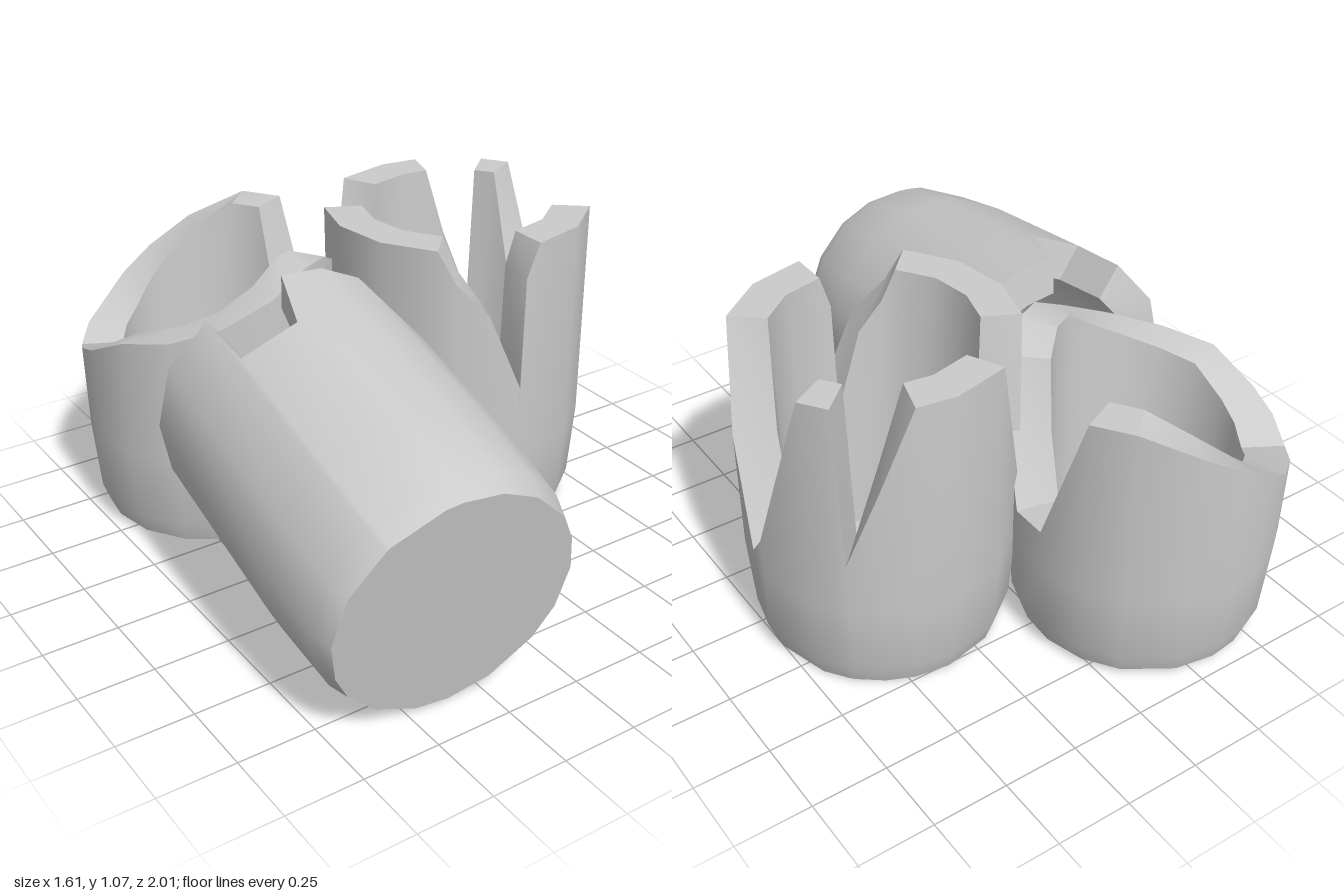
import * as THREE from 'three';
import { toCreasedNormals } from 'three/addons/utils/BufferGeometryUtils.js';

const material = new THREE.MeshStandardMaterial({ color: 0xcccccc });

// Adds columns between the rim points wherever the angular gap is wide.
function fillRim(rim) {
  const out = [];
  rim.forEach(([a, h], i) => {
    const [nextA, nextH] = i + 1 < rim.length ? rim[i + 1] : [rim[0][0] + 360, rim[0][1]];
    const n = Math.ceil((nextA - a) / 27);
    for (let k = 0; k < n; k++) {
      out.push([a + (nextA - a) * k / n, h + (nextH - h) * k / n]);
    }
  });
  return out;
}

// Hollow broken barrel standing on y = 0.
// rim: [degrees from +z towards +x, height of the broken edge]
function barrelGeometry(rim) {
  const columns = fillRim(rim);
  const floor = 0.1;
  // bottom, bulging outer wall, broken rim, inner wall, floor
  const profile = (h) => [
    [0, 0], [0.385, 0], [0.41, 0.07], [0.43, 0.32], [0.435, h],
    [0.283 + 0.027 * h, h], [0.28, floor], [0, floor],
  ];
  const rows = columns.map(([deg, h]) => {
    const a = THREE.MathUtils.degToRad(deg);
    return profile(h).map(([r, y]) => [Math.sin(a) * r, y, Math.cos(a) * r]);
  });
  const positions = [];
  rows.forEach((left, i) => {
    const right = rows[(i + 1) % rows.length];
    const last = left.length - 2;
    for (let j = 0; j <= last; j++) {
      if (j > 0) positions.push(...left[j], ...right[j], ...right[j + 1]);
      if (j < last) positions.push(...left[j], ...right[j + 1], ...left[j + 1]);
    }
  });
  const geometry = new THREE.BufferGeometry();
  geometry.setAttribute('position', new THREE.Float32BufferAttribute(positions, 3));
  return toCreasedNormals(geometry, 0.55);
}

function barrel(name, rim, x, y, z) {
  const mesh = new THREE.Mesh(barrelGeometry(rim), material);
  mesh.name = name;
  mesh.position.set(x, y, z);
  return mesh;
}

export function createModel() {
  const group = new THREE.Group();
  group.name = 'brokenBarrels';

  // Tall barrel with five splintered staves
  group.add(barrel('tallBarrel', [
    [-44, 1.06], [-36, 0.95], [-22, 0.84], [-7, 0.57], [-6, 0.95], [0, 1.06],
    [25, 1.06], [50, 1.06], [86, 0.39], [93, 0.46], [119, 1.06], [132, 1.06],
    [135, 0.5], [163, 1.06], [180, 1.06], [205, 1.06], [229, 0.5], [243, 1.06],
    [266, 1.06], [291, 1.06],
  ], 0.37, 0.02, -0.13));

  // Rear barrel with a deep sloping break
  group.add(barrel('rearBarrel', [
    [0, 0.87], [18, 0.94], [32, 0.94], [48, 0.88], [78, 0.46], [95, 0.47],
    [115, 0.94], [134, 0.94], [160, 0.85], [180, 0.76], [210, 0.62], [240, 0.56],
    [270, 0.64], [292, 0.72], [315, 0.75], [338, 0.8],
  ], -0.33, 0.03, -0.57));

  // Fallen barrel, its base facing forwards
  const fallen = barrel('fallenBarrel', [
    [-90, 1.04], [-65, 1.07], [-40, 1.06], [-38, 0.84], [-12, 0.84], [-4, 1.07],
    [15, 1.08], [34, 1.07], [56, 0.86], [72, 0.88], [90, 0.75], [112, 0.8],
    [130, 1.06], [155, 1.06], [176, 0.75], [192, 1.07], [215, 1.07], [235, 0.85],
    [250, 1.0],
  ], -0.4, 0.4, 0.93);
  fallen.rotation.set(-1.385, -0.08, 0, 'YXZ');
  group.add(fallen);

  return group;
}
